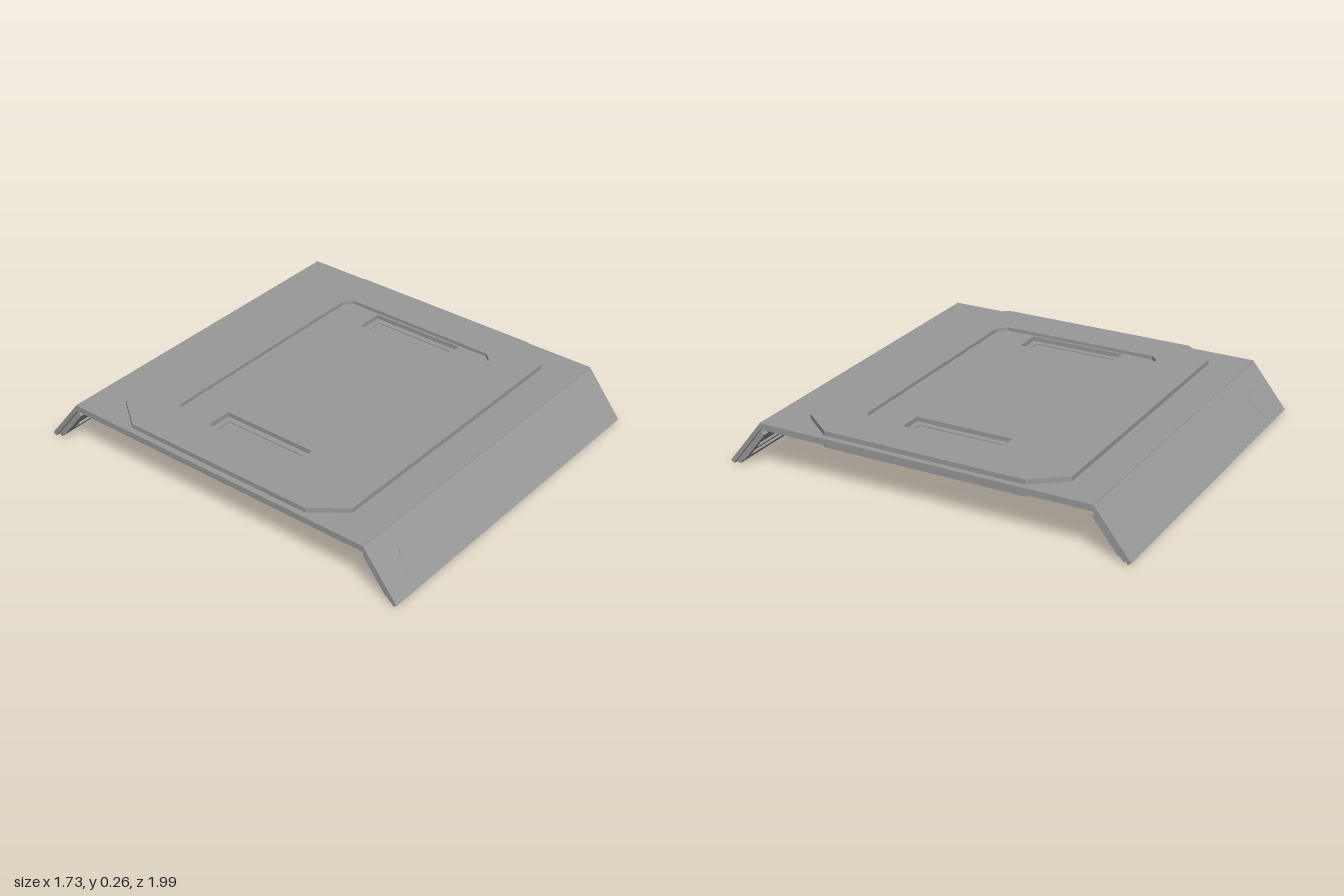
import * as THREE from 'three';

const grey = new THREE.MeshStandardMaterial({ color: 0x999999 });
grey.name = 'plain grey';

// Rectangle with cut corners, listed counter-clockwise
function cutRect(hx, hz, cx = 0, cz = 0, x0 = 0) {
  return [[hx - cx, -hz], [hx, -hz + cz], [hx, hz - cz], [hx - cx, hz],
    [-hx + cx, hz], [-hx, hz - cz], [-hx, -hz + cz], [-hx + cx, -hz]]
    .filter((p, i, a) => i === 0 || p[0] !== a[i - 1][0] || p[1] !== a[i - 1][1])
    .map(([x, z]) => new THREE.Vector2(x + x0, z));
}

function extrude(points, holes, depth) {
  const shape = new THREE.Shape(points);
  holes.forEach((h) => shape.holes.push(new THREE.Path(h)));
  return new THREE.ExtrudeGeometry(shape, { depth, bevelEnabled: false });
}

// Horizontal plate between two heights
function plate(name, points, holes, y0, y1) {
  const geo = extrude(points, holes, y1 - y0);
  geo.rotateX(-Math.PI / 2).translate(0, y0, 0);
  const mesh = new THREE.Mesh(geo, grey);
  mesh.name = name;
  return mesh;
}

// Sloping flange; parts use x, distance down the slope, and inward depth
function flange(side) {
  const turned = new THREE.Group();
  turned.name = side > 0 ? 'frontFlange' : 'backFlange';
  if (side < 0) turned.rotation.y = Math.PI;
  const slope = new THREE.Group();
  slope.name = 'slope';
  slope.matrixAutoUpdate = false;
  slope.matrix.makeBasis(
    new THREE.Vector3(1, 0, 0),
    new THREE.Vector3(0, -0.783, 0.622),
    new THREE.Vector3(0, -0.622, -0.783)
  ).setPosition(0, 0.235, 0.82);
  turned.add(slope);

  const add = (name, pts, d0, d1, holes = []) => {
    const flip = (list) => list.map(([x, s]) => new THREE.Vector2(x * side, s));
    const geo = extrude(flip(pts), holes.map(flip), d1 - d0);
    geo.translate(0, 0, d0);
    const mesh = new THREE.Mesh(geo, grey);
    mesh.name = name;
    slope.add(mesh);
  };
  const rect = (x0, x1, s0, s1) => [[x0, s0], [x1, s0], [x1, s1], [x0, s1]];

  add('flangeSheet', rect(-0.863, 0.863, 0, 0.281), 0, 0.02);
  // Frame around the long tapered recess on the inside
  const recess = [[-0.74, 0.11], [-0.6, 0.11], [-0.45, 0.085], [0.74, 0.085],
    [0.8, 0.13], [0.8, 0.215], [-0.74, 0.215]];
  add('innerFrame', rect(-0.85, 0.85, 0.035, 0.27), 0.02, 0.03, [recess]);
  add('upperRail', [[-0.5, 0.04], [0.8, 0.04], [0.77, 0.085], [-0.42, 0.085]], 0.03, 0.05);
  add('lowerRail', rect(-0.85, 0.85, 0.235, 0.265), 0.03, 0.04);
  add('endRib', rect(-0.85, -0.8, 0.04, 0.235), 0.03, 0.046);
  add('endRib', rect(0.82, 0.85, 0.04, 0.235), 0.03, 0.046);
  add('middleRib', rect(-0.006, 0.006, 0.215, 0.265), 0.03, 0.042);

  // Flush eight-sided plug, seen on both faces
  const plug = [[-0.02, -0.06], [0.02, -0.06], [0.04, -0.035], [0.04, 0.035],
    [0.02, 0.06], [-0.02, 0.06], [-0.04, 0.035], [-0.04, -0.035]]
    .map(([x, s]) => [x - 0.68, s + 0.16]);
  add('plug', plug, -0.001, 0.026);
  return turned;
}

export function createModel() {
  const model = new THREE.Group();
  model.name = 'hatchPlate';

  const opening = cutRect(0.628, 0.435, 0.04, 0.04);
  model.add(plate('mainSheet', cutRect(0.863, 0.822), [opening], 0.205, 0.235));

  // Raised ring standing proud above and below
  model.add(plate('raisedRing', cutRect(0.835, 0.65, 0.12, 0.155), [opening], 0.18, 0.258));

  // Sunken centre panel with two slots
  const slots = [-0.55, 0.55].map((x) => cutRect(0.068, 0.242, 0, 0, x));
  model.add(plate('centrePanel', opening, slots, 0.197, 0.241));

  // Stepped slot floors
  for (const x of [-0.55, 0.55]) {
    const outer = cutRect(0.068, 0.242, 0, 0, x);
    const inner = cutRect(0.04, 0.212, 0, 0, x);
    model.add(plate('slotStep', outer, [inner], 0.209, 0.219));
    model.add(plate('slotFloor', inner, [], 0.211, 0.214));
  }

  model.add(flange(1), flange(-1));
  return model;
}
